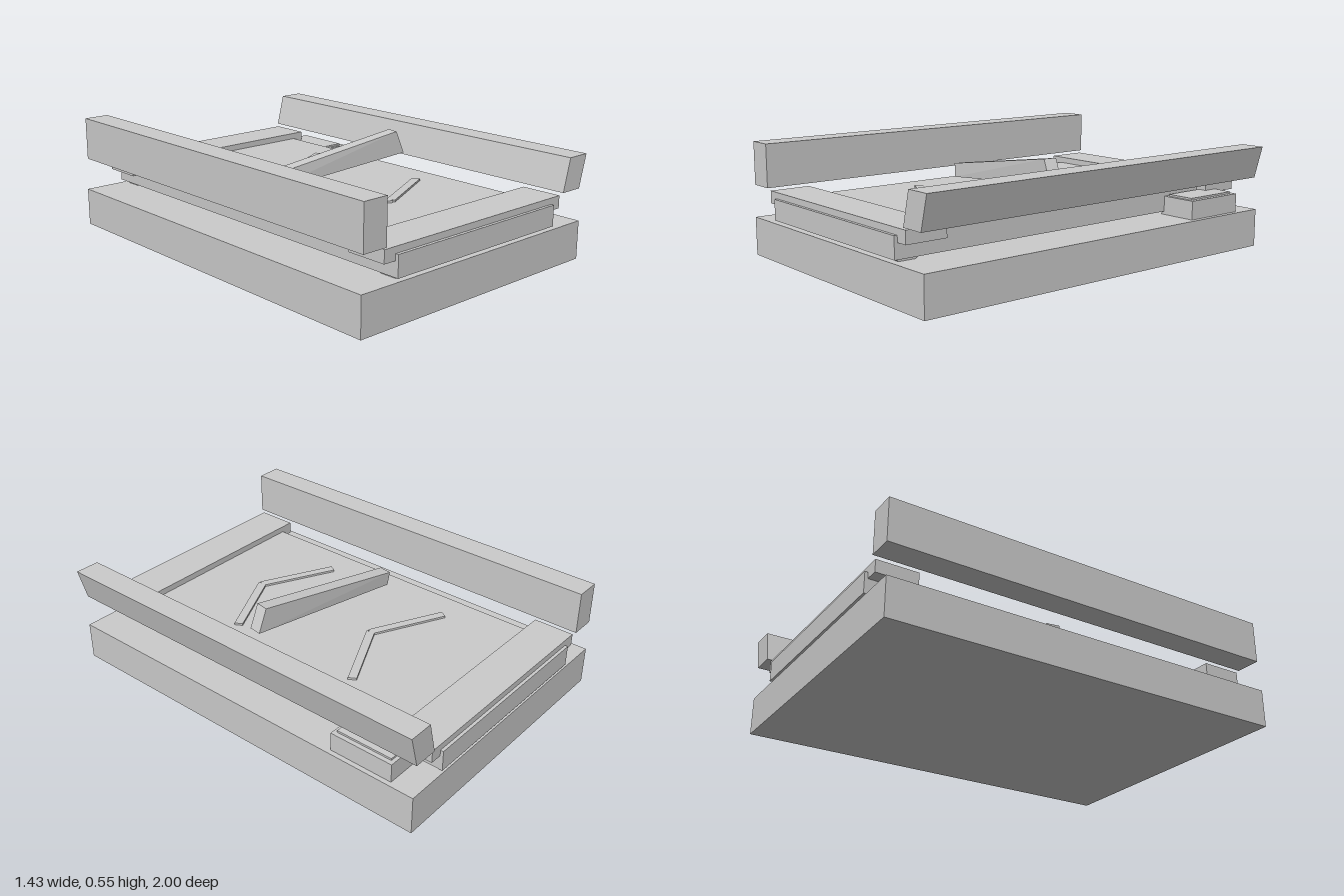
import * as THREE from 'three';

const material = new THREE.MeshStandardMaterial({ color: 0xcccccc, flatShading: true });

function add(group, name, geometry) {
  const mesh = new THREE.Mesh(geometry, material);
  mesh.name = name;
  group.add(mesh);
  return mesh;
}

// Box given by its extents
function box(x0, x1, y0, y1, z0, z1) {
  return new THREE.BoxGeometry(x1 - x0, y1 - y0, z1 - z0)
    .translate((x0 + x1) / 2, (y0 + y1) / 2, (z0 + z1) / 2);
}

function prism(points, depth) {
  const shape = new THREE.Shape(points.map(([x, y]) => new THREE.Vector2(x, y)));
  return new THREE.ExtrudeGeometry(shape, { depth, bevelEnabled: false });
}

export function createModel() {
  const group = new THREE.Group();

  // Base and moving deck
  add(group, 'base', box(-0.715, 0.685, 0, 0.185, -1, 1));
  add(group, 'deck', box(-0.515, 0.485, 0.2, 0.3, -1, 1));

  for (const s of [-1, 1]) {
    // End covers straddling the deck
    add(group, 'endCover', box(-0.578, 0.543, 0.27, 0.33, s * 0.885 - 0.1, s * 0.885 + 0.1));
    // Bearers with sloping sides under the deck
    const bearer = prism([[-0.04, 0.183], [0.04, 0.183], [0.06, 0.202], [-0.06, 0.202]], 0.95);
    bearer.rotateY(Math.PI / 2).translate(-0.49, 0, s * 0.923);
    add(group, 'bearer', bearer);
  }

  // Drive housing with a thin lid
  add(group, 'driveHousing', box(0.47, 0.662, 0.185, 0.275, -0.873, -0.553));
  add(group, 'driveLid', box(0.5, 0.64, 0.275, 0.284, -0.855, -0.57));

  // Upright and leaning handrails
  add(group, 'rightRail', box(-0.705, -0.58, 0.343, 0.551, -1, 1));
  add(group, 'leftRail', prism([[0.55, 0.343], [0.67, 0.343], [0.712, 0.5], [0.59, 0.5]], 2).translate(0, 0, -1));

  // Raised chevrons on the deck
  const chevron = [
    [-0.375, -0.385], [-0.022, -0.21], [-0.015, -0.222], [-0.008, -0.21],
    [0.345, -0.385], [0.325, -0.42], [-0.015, -0.252], [-0.355, -0.42],
  ].map(([x, z]) => [x, -z]).reverse();
  for (const z of [0, 0.7]) {
    add(group, 'chevron', prism(chevron, 0.015).rotateX(-Math.PI / 2).translate(0, 0.295, z));
  }

  // Tapered diagonal bar: four cross-section corners at each end
  const bar = new THREE.BoxGeometry(1, 1, 1);
  const corners = {
    '-1,1,-1': [-0.415, 0.385, -0.035], '-1,1,1': [-0.425, 0.385, 0.03],
    '-1,-1,-1': [-0.404, 0.317, -0.03], '-1,-1,1': [-0.413, 0.317, 0.037],
    '1,1,-1': [0.385, 0.508, 0.062], '1,1,1': [0.375, 0.508, 0.125],
    '1,-1,-1': [0.432, 0.395, 0.066], '1,-1,1': [0.423, 0.395, 0.129],
  };
  const p = bar.attributes.position;
  for (let i = 0; i < p.count; i++) {
    p.setXYZ(i, ...corners[[p.getX(i), p.getY(i), p.getZ(i)].map(Math.sign).join()]);
  }
  bar.computeVertexNormals();
  add(group, 'diagonalBar', bar);

  return group;
}
